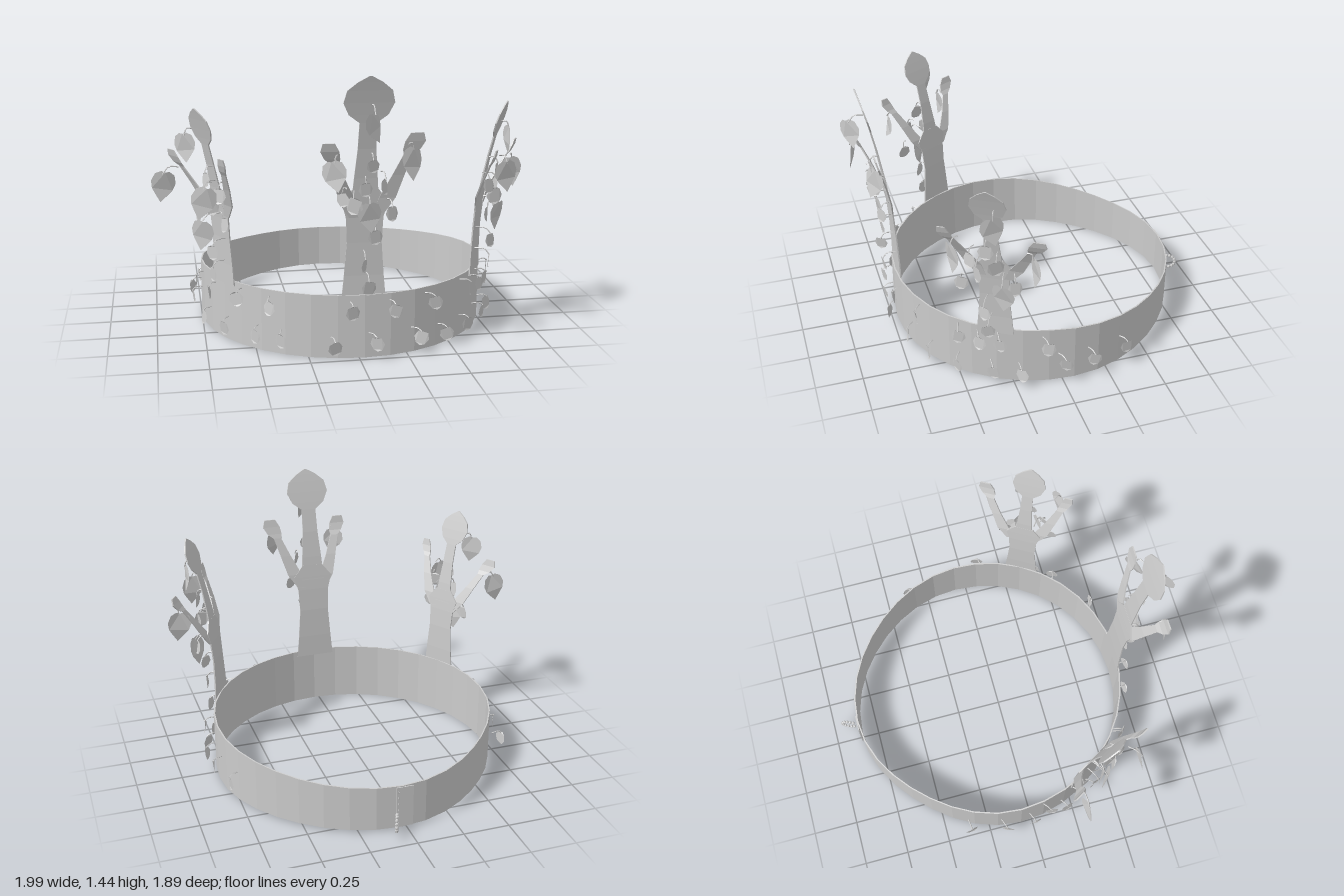
import * as THREE from 'three';

const RX = 0.777, RZ = 0.786, CX = 0.0275, CZ = -0.065, TOP = 0.33;
const mat = new THREE.MeshStandardMaterial({ color: 0xcccccc, flatShading: true, side: THREE.DoubleSide });

let seed = 7;
const rnd = () => ((seed = (seed * 16807) % 2147483647) / 2147483647) - 0.5;

function add(parent, name, geometry) {
  const mesh = new THREE.Mesh(geometry, mat);
  mesh.name = name;
  parent.add(mesh);
  return mesh;
}

// Thin plate swept through sections [x, y, z, halfWidth]
function plate(sections, thick = 0.007) {
  const pos = [], idx = [];
  for (const [x, y, z, w] of sections) {
    pos.push(x - w, y, z, x + w, y, z, x + w, y, z - thick, x - w, y, z - thick);
  }
  const last = (sections.length - 1) * 4;
  for (let i = 0; i < last; i += 4) {
    for (let k = 0; k < 4; k++) {
      const a = i + k, b = i + (k + 1) % 4;
      idx.push(a, b, b + 4, a, b + 4, a + 4);
    }
  }
  idx.push(0, 2, 1, 0, 3, 2, last, last + 1, last + 2, last, last + 2, last + 3);
  const g = new THREE.BufferGeometry();
  g.setAttribute('position', new THREE.Float32BufferAttribute(pos, 3));
  g.setIndex(idx);
  g.computeVertexNormals();
  return g;
}

// Folded leaf, one unit tall; a longer tip gives a more pointed leaf
function leafGeometry(tip, half) {
  const pts = [[0, 0.46], ...half, [0, -tip], ...half.map(([x, y]) => [-x, y]).reverse()];
  const g = new THREE.ShapeGeometry(new THREE.Shape(pts.map(([x, y]) => new THREE.Vector2(x, y))));
  const p = g.attributes.position;
  for (let i = 0; i < p.count; i++) p.setZ(i, -0.2 * Math.abs(p.getX(i)));
  g.computeVertexNormals();
  return g;
}
const smallLeaf = leafGeometry(0.45, [[0.3, 0.38], [0.45, 0], [0.28, -0.34]]);
const largeLeaf = leafGeometry(0.6, [[0.14, 0.5], [0.34, 0.38], [0.43, 0.1], [0.36, -0.15], [0.2, -0.36]]);

// Leaf hanging from a bent wire that starts at the given anchor
function hangingLeaf(parent, at, size, yaw, anchor) {
  const leaf = add(parent, 'leaf', size > 0.12 ? largeLeaf : smallLeaf);
  leaf.position.set(...at);
  leaf.scale.setScalar(size);
  leaf.rotation.set(rnd() * 0.4, yaw, rnd() * 0.7, 'YXZ');
  const end = new THREE.Vector3(at[0], at[1] + size * 0.4, at[2]);
  const start = new THREE.Vector3(...anchor);
  const mid = start.clone().lerp(end, 0.65);
  mid.y = Math.max(start.y, end.y) + 0.002;
  add(parent, 'leafWire', new THREE.TubeGeometry(new THREE.CatmullRomCurve3([start, mid, end]), 5, 0.0035, 4));
}

// Holder on the rim: local x runs along the rim, z points outward
function rimGroup(parent, name, degrees, out = 0) {
  const a = THREE.MathUtils.degToRad(degrees), g = new THREE.Group();
  g.name = name;
  g.position.set(CX + (RX + out) * Math.sin(a), 0, CZ + (RZ + out) * Math.cos(a));
  g.rotation.y = a;
  parent.add(g);
  return g;
}

const lean = h => 0.15 * Math.pow(Math.max(h, 0) / 1.1, 2.2);

// Branching spike: trunk, middle arm with a round head, two side arms.
// arms: [reach along the rim, height, extra outward lean, head size] of each tip
function spike(parent, name, degrees, out, m, su, sy, headScale, arms, leaves) {
  const g = rimGroup(parent, name, degrees, out);
  const trunk = [[-0.03, 0.112], [0.1, 0.1], [0.27, 0.087], [0.4, 0.093], [0.48, 0.115], [0.55, 0.06]];
  const middle = [[0.46, 0.07], [0.6, 0.058], [0.75, 0.045], [0.88, 0.042], [0.92, 0.095],
    [0.98, 0.123], [1.04, 0.108], [1.08, 0.06], [1.11, 0.006]];
  const straight = (list, k) => plate(list.map(([h, w]) => [-0.005, TOP + h * sy, lean(h) - 0.014, w * k]));
  add(g, 'spikeTrunk', straight(trunk, su));
  add(g, 'spikeMiddleArm', straight(middle, headScale));
  // Side arm rows: [fraction of reach, fraction of height, fraction of lean, half width]
  const rows = [[0.28, 0.5, 0, 0.025], [0.45, 0.6, 0.08, 0.042], [0.66, 0.74, 0.4, 0.03], [0.84, 0.87, 0.75, 0.022]];
  const head = [[0.9, 0.9, 0.9, 0.042], [0.97, 0.95, 1, 0.05], [1, 1, 1, 0.032]];
  for (const [reach, height, extra, size] of arms) {
    const sections = [...rows, ...head.map(([u, h, e, w]) => [u, h, e, w * size])];
    add(g, 'spikeSideArm', plate(sections.map(([u, h, e, w]) =>
      [u * reach * m, TOP + h * height * sy, lean(h * height) + e * extra - 0.014, w * su])));
  }
  for (const [u, y, n, size, yaw] of leaves) {
    const ay = y + size * 0.5 + 0.02;
    const az = lean((ay - TOP) / sy) + (Math.abs(u) > 0.12 ? 0.06 : -0.014);
    hangingLeaf(g, [u * m, y, n], size, (yaw + rnd() * 0.3) * m, [u * 0.85 * m, ay, az]);
  }
}

export function createModel() {
  const model = new THREE.Group();
  model.name = 'leafCrown';

  // Band, lower and slightly flattened towards the back
  const profile = [[0.99, 0], [1, 0], [1, TOP], [0.99, TOP], [0.99, 0]];
  const band = new THREE.LatheGeometry(profile.map(([r, y]) => new THREE.Vector2(r, y)), 36);
  const p = band.attributes.position;
  for (let i = 0; i < p.count; i++) {
    const x = p.getX(i), z = p.getZ(i);
    const dip = z < 0 ? Math.pow(2 * x * z, 2) * (x < 0 ? 0.045 : 0.025) : 0;
    const t = Math.max(0, 0.15 - z * RZ - CZ);
    const y = p.getY(i) > 0.1 ? TOP - 0.08 * Math.pow(t, 1.3) : 0.01 * t;
    p.setXYZ(i, CX + x * RX * (1 - dip), y, CZ + z * RZ * (1 - dip));
  }
  band.computeVertexNormals();
  add(model, 'band', band);

  // Spikes; leaves are [along rim, height, outward, size, turn]
  const centreLeaves = [
    [0.01, 0.38, 0.06, 0.085, 0.3], [-0.01, 0.5, 0.06, 0.08, 1.1], [0.04, 0.64, 0.06, 0.085, 0.2],
    [0.01, 0.75, 0.07, 0.14, 0.1], [0.12, 0.76, 0.07, 0.085, 0.4], [-0.07, 0.8, 0.06, 0.1, -0.6],
    [-0.13, 0.84, 0.08, 0.08, -0.8], [0.08, 0.9, 0.09, 0.09, 0.9], [-0.01, 0.88, 0.06, 0.08, 0],
    [0.02, 1.0, 0.09, 0.075, 0.2], [-0.18, 0.98, 0.16, 0.14, -0.3], [0.21, 1.02, 0.11, 0.15, 0.6],
    [0.01, 1.21, 0.18, 0.14, 0.8]];
  const sideLeaves = [
    [-0.02, 0.37, 0.07, 0.085, 0.2], [-0.04, 0.49, 0.08, 0.085, -0.3], [-0.15, 0.66, 0.08, 0.085, 0],
    [0.12, 0.65, 0.06, 0.085, 0.4], [0.03, 0.77, 0.08, 0.1, 0.6], [-0.11, 0.8, 0.08, 0.09, -0.5],
    [-0.02, 0.87, 0.1, 0.09, 0.1], [-0.07, 0.74, 0.1, 0.1, -0.8]];
  const leftLeaves = [
    [0.06, 0.61, 0.09, 0.15, -0.2], [-0.17, 0.88, 0.18, 0.15, -0.9],
    [0.223, 0.82, 0.12, 0.15, -1], [0.03, 1.03, 0.14, 0.14, 0.4]];
  const rightLeaves = [
    [-0.01, 0.59, 0.12, 0.15, -0.6], [-0.162, 0.8, 0.2, 0.15, -0.9],
    [0.234, 0.81, 0.19, 0.15, -1], [0.1, 1.03, 0.14, 0.14, -0.6]];
  spike(model, 'centreSpike', 0, 0, 1, 1, 1, 1,
    [[-0.205, 0.8, 0.09, 0.9], [0.23, 0.83, 0.03, 1]], centreLeaves);
  const sideArms = [[-0.225, 0.84, 0.07, 0.7], [0.25, 0.81, 0.07, 1]];
  spike(model, 'leftSpike', 60, 0.016, 1, 0.87, 0.815, 0.74, sideArms, [...sideLeaves, ...leftLeaves]);
  spike(model, 'rightSpike', -60, 0.016, -1, 0.87, 0.815, 0.74, sideArms, [...sideLeaves, ...rightLeaves]);

  // Two rows of small leaves around the band
  const rows = [
    [0.25, [-79, -65, -48, -35, -4, 11, 26, 46, 54, 62, 79]],
    [0.08, [-111, -97, -85, -70, -56, -40, -30, -11, 3, 20, 33, 46, 59, 70, 85, 97, 111]]];
  for (const [height, angles] of rows) {
    for (const a of angles) {
      const y = height + (Math.abs(a) > 80 ? 0.05 : rnd() * 0.03);
      const g = rimGroup(model, 'bandLeaf', a);
      hangingLeaf(g, [rnd() * 0.02, y, 0.055], 0.085, rnd() * 1.2, [-0.02, y + 0.045, 0]);
    }
  }

  // Clasp at the back: overlapping strip, loops and a short bead chain
  const clasp = add(model, 'claspStrip', new THREE.BoxGeometry(0.09, 0.23, 0.006));
  clasp.position.set(0.015, 0.13, -0.852);
  for (let i = 0; i < 6; i++) {
    const loop = add(model, 'claspLoop', new THREE.TorusGeometry(0.006, 0.002, 4, 8));
    loop.position.set(0.05, 0.04 + i * 0.036, -0.852);
    loop.rotation.y = Math.PI / 2;
  }
  for (let i = 0; i < 11; i++) {
    const a = 2.2 - i * 0.44, z = -0.905 - 0.04 * Math.cos(a);
    const bead = add(model, 'chainBead', new THREE.SphereGeometry(0.01, 6, 4));
    bead.position.set(0.055 - (z + 0.85) * 0.4, 0.075 + 0.04 * Math.sin(a), z);
  }
  return model;
}
